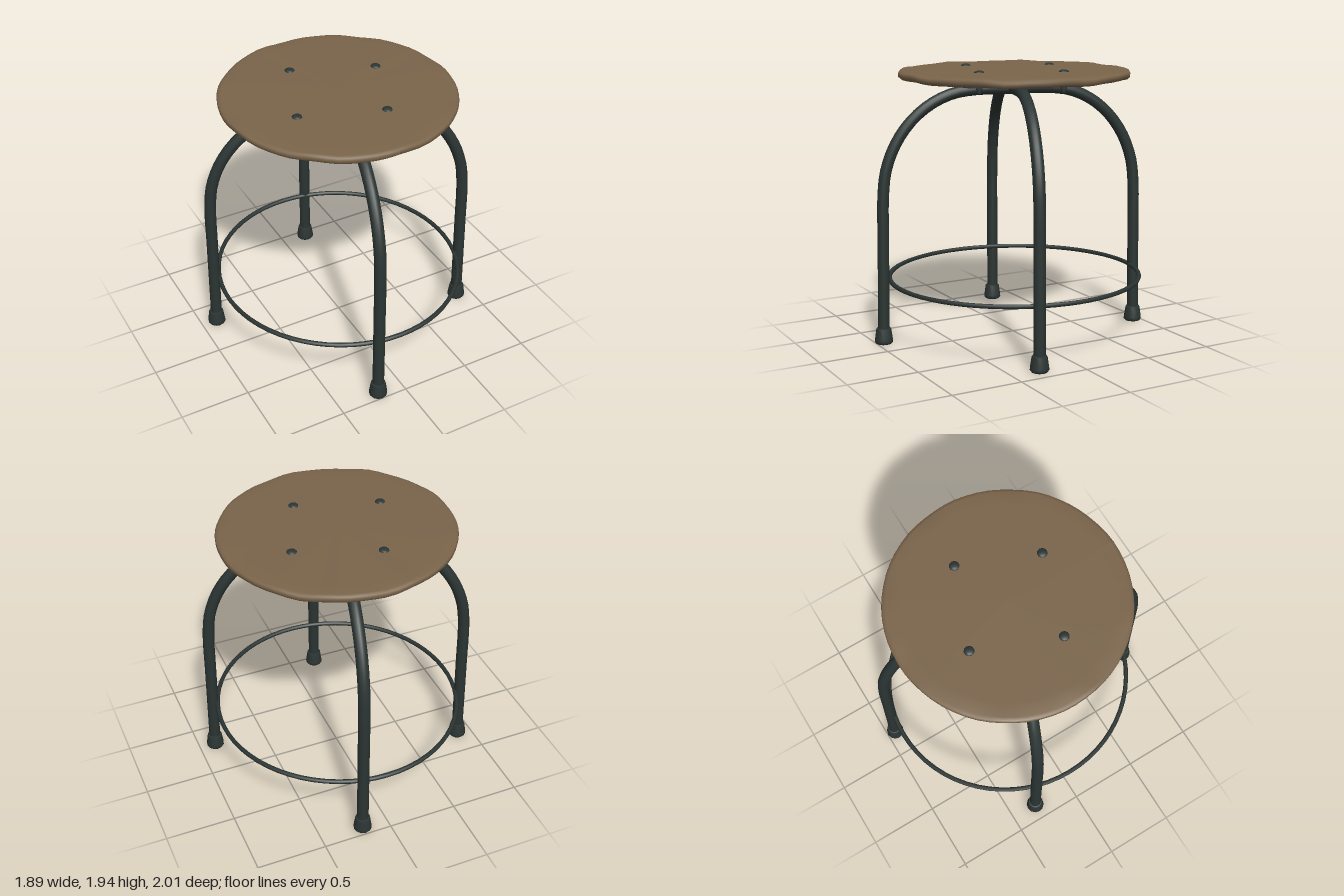
import * as THREE from 'three';

const wood = new THREE.MeshStandardMaterial({ name: 'wood', color: 0x7a644a });
const metal = new THREE.MeshStandardMaterial({ name: 'dark metal', color: 0x2b3533 });

export function createModel() {
  const stool = new THREE.Group();
  stool.name = 'stool';

  const add = (name, geometry, material, x = 0, y = 0, z = 0, parent = stool) => {
    const mesh = new THREE.Mesh(geometry, material);
    mesh.name = name;
    mesh.position.set(x, y, z);
    parent.add(mesh);
    return mesh;
  };

  // Round seat with a soft, slightly uneven hand-cut rim
  const profile = [
    [0, 1.868], [0.5, 1.868], [0.775, 1.866], [0.803, 1.872], [0.817, 1.885],
    [0.819, 1.905], [0.812, 1.917], [0.79, 1.925], [0.7, 1.928], [0, 1.931],
  ].map(([r, y]) => new THREE.Vector2(r, y));
  const seat = new THREE.LatheGeometry(profile, 64);
  const p = seat.attributes.position;
  for (let i = 0; i < p.count; i++) {
    const x = p.getX(i), y = p.getY(i), z = p.getZ(i);
    const rim = THREE.MathUtils.smoothstep(Math.hypot(x, z), 0.72, 0.81);
    const a = Math.atan2(z, x);
    const wave = 0.004 * rim * (Math.sin(a * 9) + 0.6 * Math.sin(a * 17 + 1));
    p.setY(i, y - 0.007 * x - 0.006 * z + wave);
  }
  seat.computeVertexNormals();
  add('seat', seat, wood, 0, 0, -0.008);

  // Mounting plate with rounded corners, turned with the bolts
  const h = 0.4, c = 0.07;
  const outline = new THREE.Shape();
  [[1, 1], [-1, 1], [-1, -1], [1, -1]].forEach(([sx, sy], i) => {
    outline.absarc(sx * (h - c), sy * (h - c), c, i * Math.PI / 2, (i + 1) * Math.PI / 2);
  });
  outline.closePath();
  const plate = new THREE.ExtrudeGeometry(outline, { depth: 0.02, bevelEnabled: false, curveSegments: 5 });
  plate.rotateX(-Math.PI / 2);
  plate.rotateY(THREE.MathUtils.degToRad(-20));
  add('mountingPlate', plate, metal, 0, 1.831, 0);

  // Four bolts: domed head, shank and nut
  const head = new THREE.SphereGeometry(0.036, 10, 5, 0, Math.PI * 2, 0, Math.PI / 2);
  head.scale(1, 0.45, 1);
  const shank = new THREE.CylinderGeometry(0.012, 0.012, 0.14, 8);
  const nut = new THREE.CylinderGeometry(0.025, 0.025, 0.022, 6);
  [[-0.17, -0.4], [0.39, -0.18], [0.17, 0.36], [-0.4, 0.17]].forEach(([x, z]) => {
    const bolt = new THREE.Group();
    bolt.name = 'bolt';
    bolt.position.set(x, -0.007 * x - 0.006 * z, z);
    add('boltHead', head, metal, 0, 1.928, 0, bolt);
    add('boltShank', shank, metal, 0, 1.856, 0, bolt);
    add('boltNut', nut, metal, 0, 1.82, 0, bolt);
    stool.add(bolt);
  });

  // Two crossing bent tubes, each forming a pair of legs
  const feet = [[0.88, 0.295], [-0.885, -0.305], [-0.195, 0.945], [0.19, -0.935]];
  const bend = ([fx, fz]) => {
    const r = Math.hypot(fx, fz);
    const at = (d, y) => new THREE.Vector3(fx / r * d, y, fz / r * d);
    const points = [at(r, 0.05), at(r - 0.005, 0.4), at(r - 0.01, 0.75)];
    for (let i = 0; i <= 6; i++) {
      const a = i / 6 * Math.PI / 2;
      points.push(at(0.27 + (r - 0.285) * Math.cos(a), 1.05 + 0.74 * Math.sin(a)));
    }
    return points;
  };
  for (let i = 0; i < 4; i += 2) {
    const path = new THREE.CatmullRomCurve3([
      ...bend(feet[i]), new THREE.Vector3(0, 1.79, 0), ...bend(feet[i + 1]).reverse(),
    ]);
    add('legPair', new THREE.TubeGeometry(path, 72, 0.041, 14), metal);
  }

  // Rubber-style feet, flared to the floor
  const footProfile = [[0, 0], [0.056, 0], [0.065, 0.012], [0.064, 0.03], [0.053, 0.105], [0.047, 0.113], [0, 0.113]]
    .map(([r, y]) => new THREE.Vector2(r, y));
  const foot = new THREE.LatheGeometry(footProfile, 12);
  feet.forEach(([x, z]) => add('foot', foot, metal, x, 0.003, z));

  // Footrest ring
  const ring = new THREE.TorusGeometry(0.887, 0.016, 8, 64);
  ring.rotateX(Math.PI / 2);
  ring.scale(1, 1, 1.028);
  add('footRing', ring, metal, 0, 0.438, -0.012);

  return stool;
}
